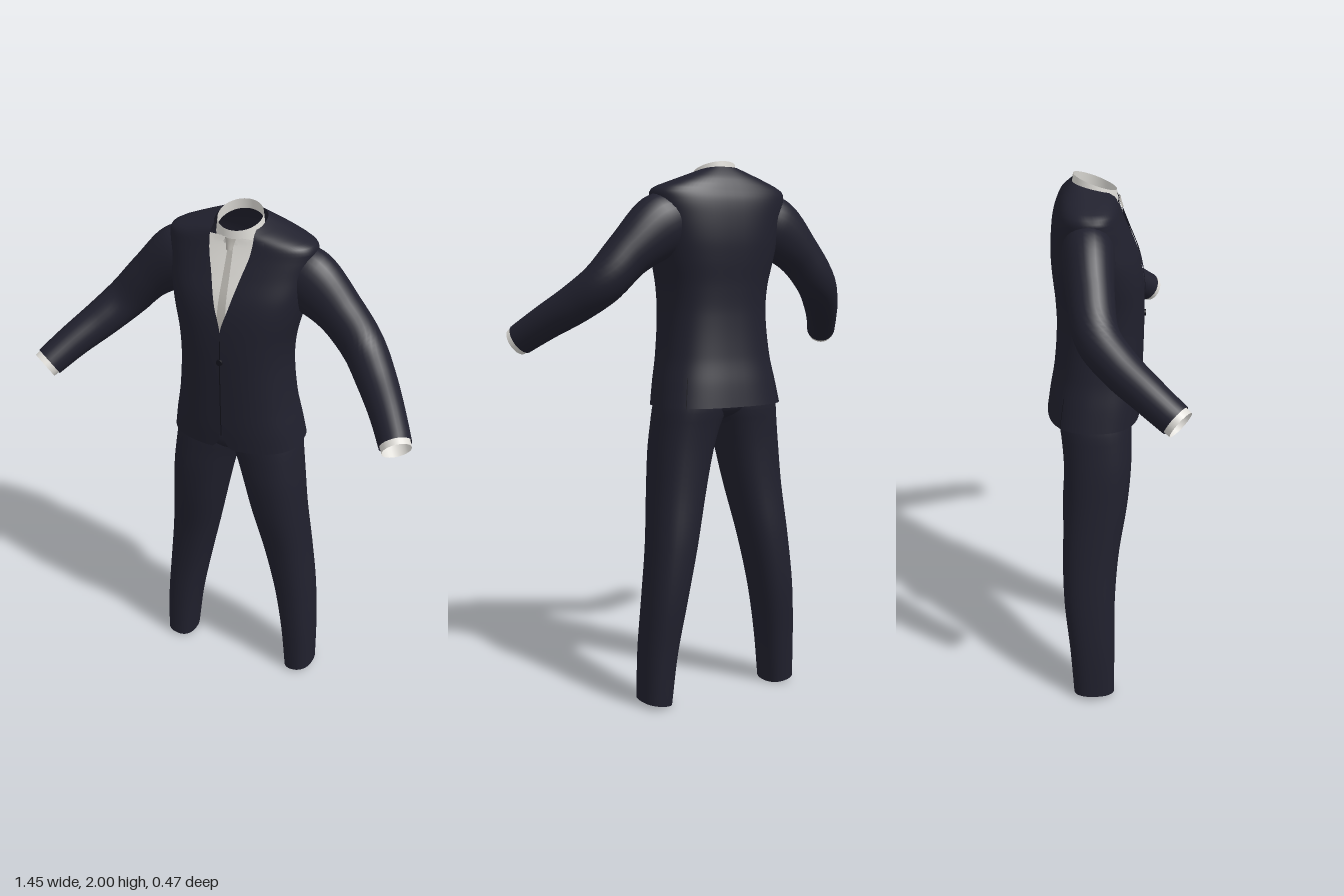
import * as THREE from 'three';
import { mergeVertices } from 'three/addons/utils/BufferGeometryUtils.js';

const make = (name, color) => new THREE.MeshStandardMaterial({ name, color, side: THREE.DoubleSide });

// Smooth interpolation of numeric rows keyed by their first entry
function at(rows, y) {
  let i = 0;
  while (i < rows.length - 2 && y > rows[i + 1][0]) i++;
  const a = rows[i], b = rows[i + 1], p = rows[i - 1] || a, n = rows[i + 2] || b;
  const h = b[0] - a[0], s = THREE.MathUtils.clamp((y - a[0]) / h, 0, 1);
  return a.map((v, k) => {
    if (k === 0) return y;
    const m0 = (b[k] - p[k]) / (b[0] - p[0]) * h, m1 = (n[k] - v) / (n[0] - a[0]) * h;
    return v * (2 * s ** 3 - 3 * s * s + 1) + m0 * (s ** 3 - 2 * s * s + s)
      + b[k] * (3 * s * s - 2 * s ** 3) + m1 * (s ** 3 - s * s);
  });
}

// Smooth surface from f(u, v) -> [x, y, z], u and v in 0..1
function surface(nu, nv, f, flip = false) {
  const pos = [], idx = [];
  for (let j = 0; j <= nv; j++) for (let i = 0; i <= nu; i++) pos.push(...f(i / nu, j / nv));
  for (let j = 0; j < nv; j++) for (let i = 0; i < nu; i++) {
    const a = j * (nu + 1) + i, b = a + 1, d = a + nu + 1, c = d + 1;
    if (flip) idx.push(a, d, b, b, d, c);
    else idx.push(a, b, d, b, c, d);
  }
  let g = new THREE.BufferGeometry();
  g.setAttribute('position', new THREE.Float32BufferAttribute(pos, 3));
  g.setIndex(idx);
  g = mergeVertices(g, 1e-5);
  g.computeVertexNormals();
  return g;
}

const pw = (v, e) => Math.sign(v) * Math.abs(v) ** e;
const mix = THREE.MathUtils.lerp;
const E = 0.8;

// Jacket body: height, half width, front z, back z, backward rise
const TORSO = [
  [1.12, 0.25, 0.105, -0.237, 0], [1.2, 0.236, 0.112, -0.225, 0], [1.3, 0.217, 0.116, -0.208, 0],
  [1.45, 0.204, 0.12, -0.197, 0], [1.55, 0.21, 0.12, -0.2, 0], [1.65, 0.232, 0.113, -0.21, 0],
  [1.72, 0.246, 0.098, -0.214, 0], [1.8, 0.258, 0.066, -0.211, 0], [1.86, 0.268, 0.042, -0.203, 0],
  [1.9, 0.262, 0.028, -0.19, 0], [1.925, 0.2, 0.024, -0.176, 0.08], [1.943, 0.145, 0.022, -0.157, 0.16],
  [1.96, 0.09, 0.02, -0.138, 0.25],
];
// Half width of the front opening: cutaway, closed front, V neck
const OPENING = [
  [1.12, 0.04], [1.14, 0.02], [1.2, 0.005], [1.3, 0.001], [1.6, 0.001],
  [1.7, 0.028], [1.8, 0.055], [1.87, 0.075], [1.92, 0.08], [1.96, 0.078],
];
const LAPEL = [[1.57, 0.004], [1.65, 0.04], [1.75, 0.068], [1.825, 0.08], [1.845, 0.045], [1.865, 0.05], [1.925, 0.035]];

function torsoPoint(y, t, off = 0) {
  const [, w, zf, zb, tilt] = at(TORSO, y);
  const z = (zf + zb) / 2 + ((zf - zb) / 2 + off) * pw(Math.cos(t), E);
  return [(w + off) * pw(Math.sin(t), E), y - tilt * (z + 0.06), z];
}
// Angle on the body section where the sideways distance is x
const angleAt = (y, x) => Math.sign(x) * Math.asin(Math.min(1, Math.abs(x) / at(TORSO, y)[1]) ** (1 / E));
const onFront = (y, x, off) => torsoPoint(y, angleAt(y, x), off);

// Trouser leg: height, inner x, outer x, front z, back z
const LEG = [
  [0.01, 0.215, 0.333, 0.002, -0.155], [0.2, 0.193, 0.329, 0.004, -0.168], [0.4, 0.157, 0.314, 0.006, -0.187],
  [0.6, 0.112, 0.292, 0.022, -0.19], [0.8, 0.065, 0.272, 0.055, -0.18], [0.95, 0.03, 0.26, 0.07, -0.18],
  [1.05, 0.0, 0.249, 0.071, -0.187], [1.12, -0.03, 0.24, 0.07, -0.195], [1.22, -0.03, 0.21, 0.06, -0.185],
];
const HIPS = [[1.06, 0.13, -0.01, -0.11], [1.09, 0.2, 0.05, -0.17], [1.13, 0.235, 0.066, -0.19], [1.22, 0.21, 0.06, -0.18]];

// Sleeve: centre x, y, z, then radius across and radius up
const SLEEVE = [
  [0.18, 1.795, -0.085, 0.085, 0.1], [0.245, 1.765, -0.085, 0.09, 0.115], [0.365, 1.67, -0.08, 0.08, 0.087],
  [0.46, 1.568, -0.062, 0.076, 0.078], [0.535, 1.495, 0.005, 0.07, 0.071], [0.61, 1.428, 0.095, 0.062, 0.063],
  [0.682, 1.355, 0.195, 0.056, 0.056],
];
const armPath = new THREE.CatmullRomCurve3(SLEEVE.map(p => new THREE.Vector3(p[0], p[1], p[2])));
const armRadii = SLEEVE.map((p, i) => [i / (SLEEVE.length - 1), p[3], p[4]]);

function armTube(side, from, to, scale) {
  return surface(28, 36, (u, v) => {
    const s = mix(from, to, v), c = armPath.getPoint(s), T = armPath.getTangent(s);
    const B = new THREE.Vector3().crossVectors(T, new THREE.Vector3(0, 1, 0)).normalize();
    const N = new THREE.Vector3().crossVectors(B, T);
    const [, rb, rn] = at(armRadii, s), a = u * Math.PI * 2;
    c.addScaledVector(B, Math.cos(a) * rb * scale).addScaledVector(N, Math.sin(a) * rn * scale);
    return [c.x * side, c.y, c.z];
  }, side > 0);
}

export function createModel() {
  const cloth = make('navy cloth', 0x20202d);
  const seam = make('dark seam', 0x12121a);
  const white = make('white shirt', 0xdedcd7);
  const grey = make('grey tie', 0xb9b6b0);
  const model = new THREE.Group();
  model.name = 'suit';
  const add = (name, geo, mat) => {
    const m = new THREE.Mesh(geo, mat);
    m.name = name;
    model.add(m);
    return m;
  };

  // Jacket body, open along the front edge
  add('jacketBody', surface(72, 70, (u, v) => {
    const y = mix(1.12, 1.96, v), t = angleAt(y, at(OPENING, y)[1]);
    return torsoPoint(y, mix(t, Math.PI * 2 - t, u));
  }), cloth);

  // Shirt front behind the V, and the tie lying on it
  add('shirtFront', surface(12, 24, (u, v) => {
    const y = mix(1.57, 1.925, v), w = at(OPENING, y)[1] + 0.014;
    return onFront(y, mix(-w, w, u), -0.008);
  }), white);
  add('tieBlade', surface(4, 16, (u, v) => {
    const y = mix(1.58, 1.885, v), w = mix(0.018, 0.01, v);
    return onFront(y, mix(-w, w, u), -0.004);
  }), grey);
  add('tieKnot', surface(4, 4, (u, v) => {
    const y = mix(1.88, 1.928, v), w = mix(0.011, 0.02, v);
    return onFront(y, mix(-w, w, u), 0.004 + 0.006 * Math.sin(u * Math.PI));
  }), grey);

  // Shirt collar band, higher at the back
  add('shirtCollar', surface(48, 4, (u, v) => {
    const a = u * Math.PI * 2, front = (1 + Math.cos(a)) / 2, r = mix(1.06, 1, v);
    const top = 2 - 0.056 * front;
    return [0.079 * r * Math.sin(a), top - (1 - v) * mix(0.036, 0.05, front), -0.055 + 0.076 * r * Math.cos(a)];
  }), white);

  for (const s of [1, -1]) {
    const side = s > 0 ? 'left' : 'right';

    // Collar points folded down beside the knot
    add(side + 'CollarPoint', surface(4, 6, (u, v) => {
      const y = mix(1.872, 1.93, v);
      return onFront(y, s * mix(mix(0.045, 0.014, v), mix(0.05, 0.066, v), u), 0.003);
    }, s < 0), white);

    // Notched lapel
    add(side + 'Lapel', surface(6, 50, (u, v) => {
      const y = mix(1.575, 1.925, v), o = at(OPENING, y)[1];
      return onFront(y, s * (o + u * at(LAPEL, y)[1]), 0.005);
    }, s < 0), cloth);

    // Sleeve and shirt cuff
    add(side + 'Sleeve', armTube(s, 0, 0.975, 1), cloth);
    add(side + 'Cuff', armTube(s, 0.9, 1, 0.92), white);

    // Trouser leg with a slanted hem
    add(side + 'TrouserLeg', surface(36, 40, (u, v) => {
      const y = mix(0.01, 1.22, v), [, xi, xo, zf, zb] = at(LEG, y), a = u * Math.PI * 2;
      const sx = pw(Math.sin(a), 0.85);
      return [s * ((xi + xo) / 2 + (xo - xi) / 2 * sx), y + 0.01 * sx * (1 - v) ** 6,
        (zf + zb) / 2 + (zf - zb) / 2 * pw(Math.cos(a), 0.85)];
    }, s < 0), cloth);

    // Rear side vent
    add(side + 'Vent', surface(1, 8, (u, v) =>
      torsoPoint(mix(1.12, 1.23, v), s * (2.3 + 0.015 * u), 0.002), s < 0), seam);
  }

  // Trouser seat joining the legs, with a closed waist
  add('trouserSeat', surface(40, 12, (u, v) => {
    const y = mix(1.06, 1.22, v), [, w, zf, zb] = at(HIPS, y), a = u * Math.PI * 2;
    return [w * pw(Math.sin(a), E), y, (zf + zb) / 2 + (zf - zb) / 2 * pw(Math.cos(a), E)];
  }), cloth);
  const waist = add('trouserWaist', new THREE.CircleGeometry(1, 32), cloth);
  waist.scale.set(0.2, 0.115, 1);
  waist.rotation.x = -Math.PI / 2;
  waist.position.set(0, 1.21, -0.06);

  // Closing edge and button
  add('frontEdge', surface(1, 16, (u, v) => {
    const y = mix(1.18, 1.59, v);
    return onFront(y, mix(-0.002, 0.002, u), 0.001);
  }), seam);
  const button = add('button', new THREE.CylinderGeometry(0.011, 0.012, 0.008, 20), seam);
  button.rotation.x = Math.PI / 2;
  button.position.set(0, 1.49, 0.123);

  return model;
}
